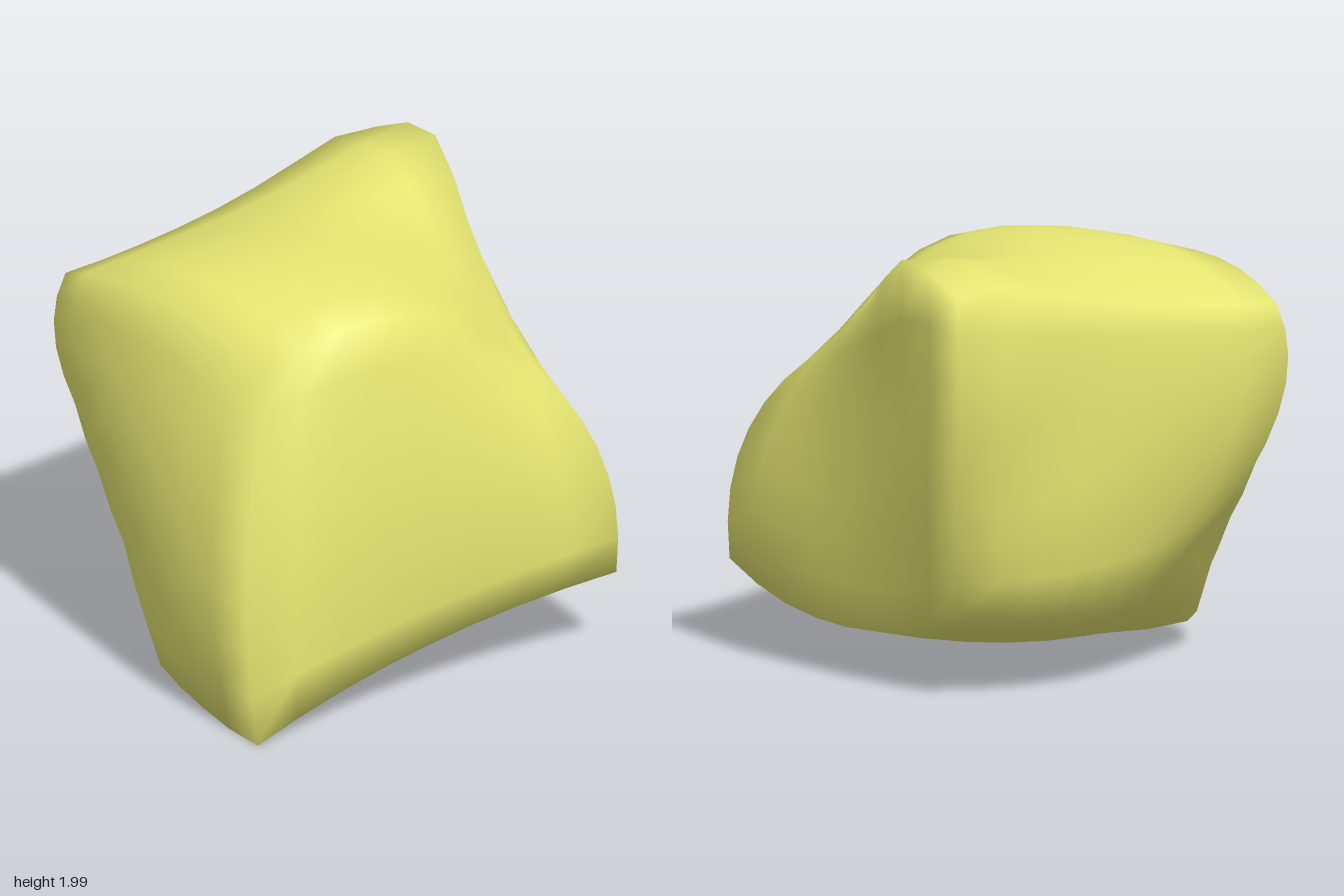
import * as THREE from 'three';
import { mergeVertices } from 'three/addons/utils/BufferGeometryUtils.js';

// Control cage of the boulder: [height level][front to back][x- to x+]
const CAGE = [
  [ // underside
    [[-0.94, 0, 0.92], [0, 0.24, 0.88], [0.95, 0.4, 0.98]],
    [[-0.85, 0.11, 0.08], [0, 0.09, 0], [0.92, 0.23, 0.05]],
    [[-0.55, 0.53, -0.53], [0.15, 0.36, -0.77], [0.8, 0.4, -0.71]],
  ],
  [ // waist
    [[-0.93, 0.87, 0.82], [0, 1.0, 0.9], [0.9, 1.0, 0.9]],
    [[-0.98, 0.95, -0.05], [0, 1, 0], [0.95, 1.0, 0.0]],
    [[-0.84, 1.16, -0.78], [0.05, 1.12, -0.86], [0.95, 1.08, -0.9]],
  ],
  [ // crown
    [[-0.66, 1.65, 0.6], [-0.05, 1.81, 0.73], [0.66, 1.42, 0.56]],
    [[-0.82, 1.8, -0.1], [0, 1.91, -0.05], [0.88, 1.7, -0.1]],
    [[-0.83, 1.66, -0.78], [0, 1.75, -0.81], [0.95, 1.93, -0.9]],
  ],
];

// Local swellings and dents: centre, push and radius
const BUMPS = [
  { at: [0.93, 1.82, -0.48], push: [0.04, 0.16, 0], radius: 0.3 }, // right shoulder
  { at: [0.5, 1.85, -0.42], push: [0, 0.06, 0], radius: 0.32 }, // top behind the shoulder
  { at: [0.95, 1.93, -0.9], push: [-0.01, -0.07, 0], radius: 0.12 }, // blunted back corner
  { at: [0.78, 1.5, -0.92], push: [0, 0, -0.065], radius: 0.45 }, // upper back
  { at: [0.4, 0.72, -0.83], push: [0, 0, -0.04], radius: 0.35 }, // lower back
  { at: [0.96, 0.62, 0.5], push: [0.05, 0, 0], radius: 0.35 }, // right flank
  { at: [-0.97, 0.47, 0.48], push: [-0.02, 0, 0], radius: 0.35 }, // left flank
  { at: [-0.83, 0.13, 0], push: [-0.05, -0.04, 0], radius: 0.3 }, // lower left edge
];

// Quadratic weights through -1, 0 and 1
const weights = (t) => [t * (t - 1) / 2, 1 - t * t, t * (t + 1) / 2];

// Carries a point of the cube [-1, 1] into the cage, then swells it
function warp(p) {
  const wx = weights(p.x), wy = weights(p.y), wz = weights(-p.z);
  const base = new THREE.Vector3();
  CAGE.forEach((level, j) => level.forEach((row, k) => row.forEach((c, i) => {
    base.addScaledVector(new THREE.Vector3(...c), wx[i] * wy[j] * wz[k]);
  })));
  const out = base.clone();
  for (const { at, push, radius } of BUMPS) {
    const d = base.distanceTo(new THREE.Vector3(...at)) / radius;
    out.addScaledVector(new THREE.Vector3(...push), Math.exp(-d * d));
  }
  return out;
}

export function createModel() {
  const group = new THREE.Group();
  group.name = 'boulder';

  // A welded cube, bent into the rock and smoothly shaded
  let geometry = new THREE.BoxGeometry(2, 2, 2, 8, 8, 8);
  geometry.deleteAttribute('uv');
  geometry.deleteAttribute('normal');
  geometry = mergeVertices(geometry, 1e-4);
  const pos = geometry.attributes.position;
  const p = new THREE.Vector3();
  for (let i = 0; i < pos.count; i++) {
    const q = warp(p.fromBufferAttribute(pos, i));
    pos.setXYZ(i, q.x, q.y, q.z);
  }
  geometry.computeVertexNormals();

  const rock = new THREE.Mesh(geometry, new THREE.MeshStandardMaterial({ color: 0xe6e672 }));
  rock.name = 'rock';
  group.add(rock);
  return group;
}
